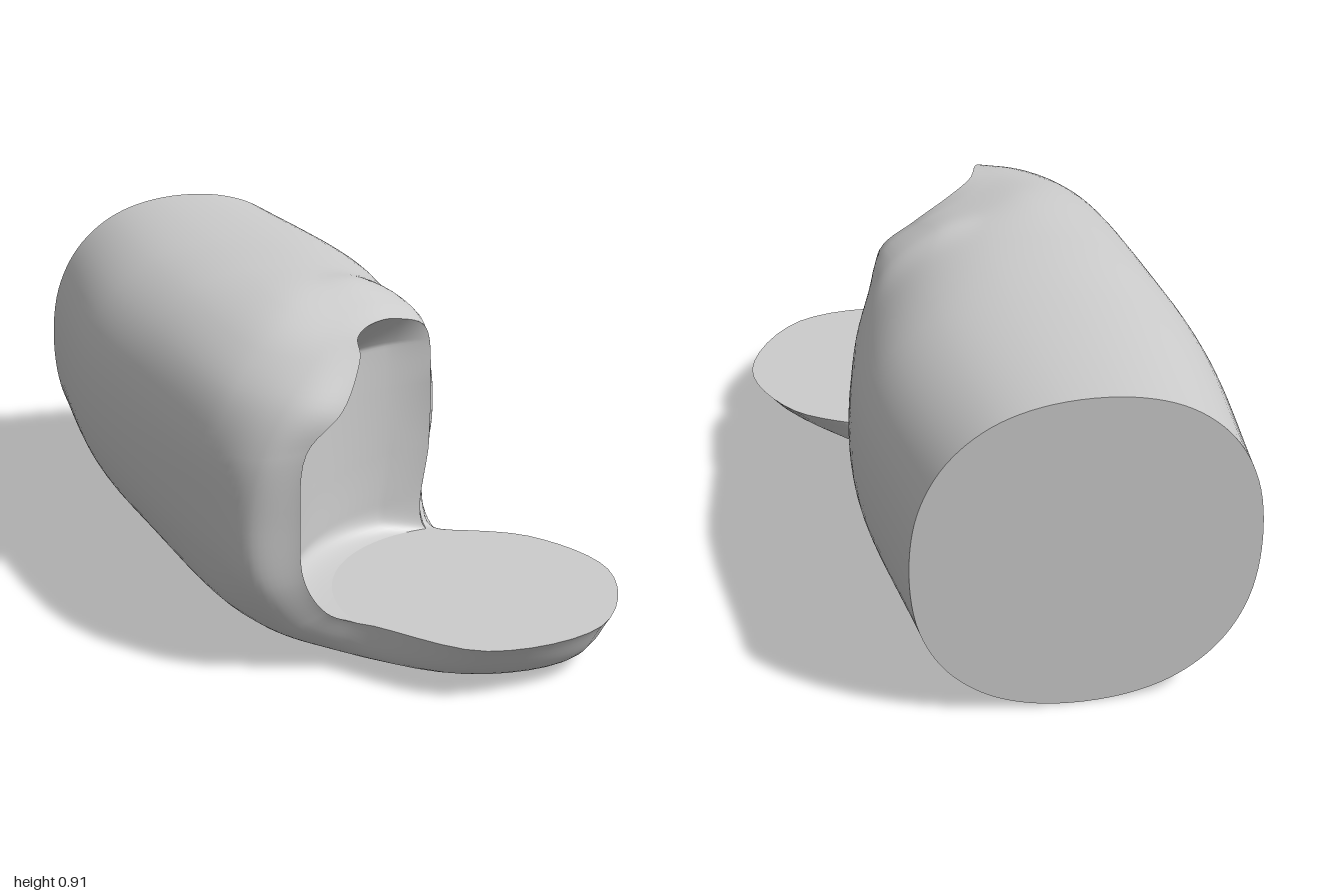
import * as THREE from 'three';
import { ParametricGeometry } from 'three/addons/geometries/ParametricGeometry.js';

const V = (x, y, z) => new THREE.Vector3(x, y, z);
const loop = (pts) => new THREE.CatmullRomCurve3(pts.map((p) => V(...p)), true, 'centripetal');
const lerp = THREE.MathUtils.lerp;

// Rounded barrel section at depth z; 18 points, one every 20 degrees from the left side upward
function barrel(z, cx, a) {
  const pts = [];
  const pow = (c) => Math.sign(c) * Math.abs(c) ** (2 / 2.3);
  for (let i = 0; i < 18; i++) {
    const t = (i * Math.PI) / 9;
    pts.push([cx + a * pow(Math.cos(t)), 0.4525 + 0.4525 * pow(Math.sin(t)), z]);
  }
  return loop(pts);
}

// Shoulder where the barrel starts to close in, and its underside runs into the tray
const shoulder = loop([
  [0.335, 0.44, 0.03], [0.325, 0.62, 0.02], [0.25, 0.79, 0.02], [0.1, 0.88, 0.05], [-0.05, 0.895, 0.1],
  [-0.2, 0.885, 0.25], [-0.33, 0.83, 0.4], [-0.43, 0.74, 0.48], [-0.49, 0.61, 0.5], [-0.505, 0.45, 0.5],
  [-0.49, 0.29, 0.5], [-0.43, 0.14, 0.48], [-0.28, 0.045, 0.48], [-0.04, 0.025, 0.56], [0.19, 0.015, 0.7],
  [0.33, 0.015, 0.58], [0.24, 0.05, 0.2], [0.3, 0.25, 0.04],
]);

// Rounded nose just behind the rim
const nose = loop([
  [0.295, 0.44, 0.11], [0.29, 0.61, 0.11], [0.25, 0.78, 0.12], [0.13, 0.845, 0.17], [0, 0.865, 0.25],
  [-0.12, 0.86, 0.4], [-0.22, 0.835, 0.54], [-0.33, 0.755, 0.62], [-0.41, 0.62, 0.64], [-0.445, 0.45, 0.635],
  [-0.43, 0.27, 0.64], [-0.34, 0.13, 0.63], [-0.2, 0.065, 0.66], [0.07, 0.045, 0.88], [0.38, 0.04, 0.88],
  [0.53, 0.055, 0.63], [0.41, 0.07, 0.38], [0.25, 0.19, 0.15],
]);

// Rim: side edge, canopy lip, other side edge, then round the front of the tray
const rim = loop([
  [0.258, 0.42, 0.185], [0.26, 0.6, 0.185], [0.24, 0.765, 0.19], [0.13, 0.82, 0.245], [0.02, 0.845, 0.335],
  [-0.07, 0.85, 0.45], [-0.12, 0.835, 0.59], [-0.21, 0.745, 0.7], [-0.303, 0.64, 0.69], [-0.32, 0.45, 0.69],
  [-0.31, 0.29, 0.69], [-0.25, 0.19, 0.69], [-0.17, 0.155, 0.71], [0.08, 0.155, 0.975], [0.42, 0.155, 0.95],
  [0.607, 0.155, 0.64], [0.5, 0.155, 0.355], [0.245, 0.155, 0.205],
]);

const sections = [barrel(-1, -0.11, 0.45), barrel(-0.45, -0.1, 0.51), barrel(-0.1, -0.11, 0.48), shoulder, nose, rim];
const TRAY_Y = 0.155;
const TRAY = { x: 0.235, z: 0.63 };

function rimAt(deg) {
  const p = rim.getPoint((((deg / 360) % 1) + 1) % 1);
  p.y = Math.max(p.y, TRAY_Y);
  return p;
}

// Outer skin: u runs round the section, v from the back to the rim
function skin(u, v, target) {
  const column = sections.map((s, i) => (i === 5 ? rimAt(u * 360) : s.getPoint(u % 1)));
  new THREE.CatmullRomCurve3(column, false, 'centripetal').getPoint(v, target);
  target.y = Math.max(target.y, 0);
}

function polar(p) {
  let a = Math.atan2(p.z - TRAY.z, p.x - TRAY.x);
  if (a > 0) a -= 2 * Math.PI;
  return { a, r: Math.hypot(p.x - TRAY.x, p.z - TRAY.z), y: p.y };
}

// Upright concave wall swept about the tray centre; it meets both side edges of the rim
// exactly and curves in to the tray at its foot
function sweep(u, s) {
  const p = polar(rimAt(40 - 60 * s));
  const q = polar(rimAt(140 + 100 * s));
  const foot = 1 - Math.max(0, (s - 0.86) / 0.14) ** 2;
  const inside = Math.min(1, 8 * u * (1 - u)) * foot;
  const r = lerp(lerp(p.r, q.r, u), lerp(0.45, 0.56, u), inside);
  const a = lerp(p.a, q.a, u);
  return V(TRAY.x + r * Math.cos(a), lerp(p.y, q.y, u), TRAY.z + r * Math.sin(a));
}

// The top of the wall curls outward to meet the canopy lip
function wall(u, s, target) {
  const p = sweep(u, s);
  const lift = Math.max(0, 1 - s / 0.1) ** 1.3;
  const toLip = rimAt(40 + 100 * u).sub(sweep(u, 0));
  target.copy(p.addScaledVector(toLip, lift));
}

export function createModel() {
  const group = new THREE.Group();
  const material = new THREE.MeshStandardMaterial({ color: 0xcccccc, side: THREE.DoubleSide });
  const add = (name, geometry) => {
    const mesh = new THREE.Mesh(geometry, material);
    mesh.name = name;
    group.add(mesh);
    return mesh;
  };

  add('outerShell', new ParametricGeometry(skin, 108, 40));
  add('scoopWall', new ParametricGeometry(wall, 36, 60));

  // Flat back end
  const back = [];
  for (let i = 0; i < 108; i++) {
    const p = sections[0].getPoint(i / 108);
    back.push(new THREE.Vector2(-p.x, p.y));
  }
  const cap = add('backCap', new THREE.ShapeGeometry(new THREE.Shape(back)).rotateY(Math.PI));
  cap.position.z = -1;

  // Flat tray floor: front rim arc closed by the foot of the wall
  const floor = [];
  for (let i = 0; i <= 30; i++) {
    const p = rimAt(240 + (100 * i) / 30);
    floor.push(new THREE.Vector2(p.x, -p.z));
  }
  for (let i = 1; i < 36; i++) {
    const p = sweep(i / 36, 1);
    floor.push(new THREE.Vector2(p.x, -p.z));
  }
  const tray = add('trayFloor', new THREE.ShapeGeometry(new THREE.Shape(floor)).rotateX(-Math.PI / 2));
  tray.position.y = TRAY_Y;

  return group;
}
